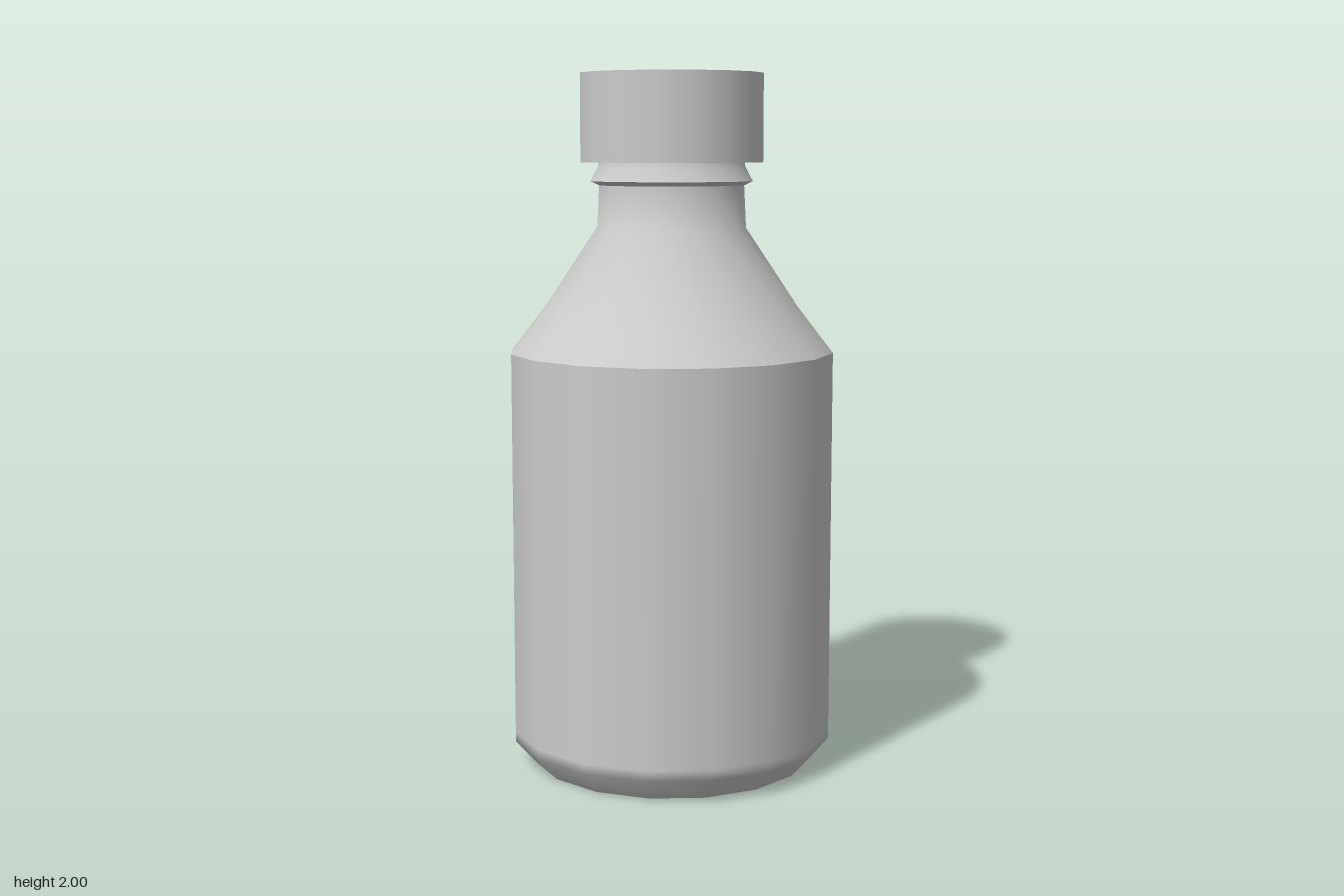
import * as THREE from 'three';

const SIDES = 16;
const TURN = THREE.MathUtils.degToRad(9.7); // rotation of the facets about y

export function createModel() {
  const group = new THREE.Group();
  const material = new THREE.MeshStandardMaterial({ color: 0xcccccc });

  // Each profile runs bottom to top as [radius, y]; separate profiles meet in a sharp edge.
  const turned = (name, profile) => {
    const points = profile.map(([r, y]) => new THREE.Vector2(r, y));
    const mesh = new THREE.Mesh(new THREE.LatheGeometry(points, SIDES, TURN), material);
    mesh.name = name;
    group.add(mesh);
  };

  // Bottle
  turned('base', [[0, 0], [0.405, 0]]);
  turned('body', [[0.405, 0], [0.468, 0.07], [0.468, 0.1], [0.468, 1.21]]);
  turned('shoulderAndNeck', [[0.468, 1.21], [0.367, 1.34], [0.216, 1.565], [0.21, 1.685]]);

  // Collar below the cap
  turned('collarUnderside', [[0.21, 1.685], [0.235, 1.697]]);
  turned('collar', [[0.235, 1.697], [0.213, 1.738], [0.211, 1.76]]);

  // Cap
  turned('capUnderside', [[0, 1.75], [0.264, 1.75]]);
  turned('capSide', [[0.264, 1.75], [0.264, 2]]);
  turned('capTop', [[0.264, 2], [0, 2]]);

  return group;
}
